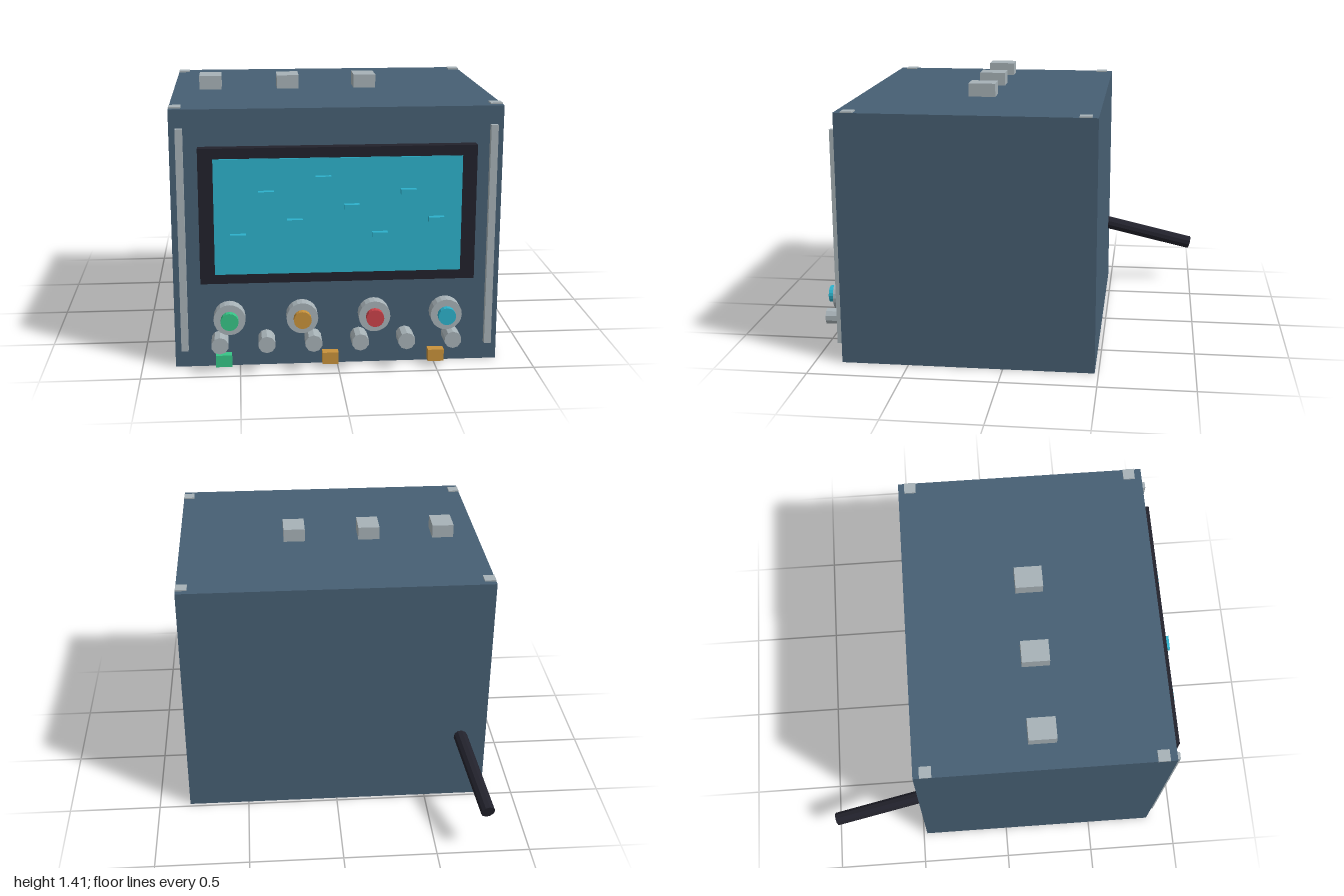
import * as THREE from 'three';

const mat = (name, color, flat = false) => {
  const m = new THREE.MeshStandardMaterial({ color, flatShading: flat });
  m.name = name;
  return m;
};

export function createModel() {
  const root = new THREE.Group();
  root.name = 'controlConsole';
  const steel = mat('slateBlue', 0x475f73, true);
  const grey = mat('lightGrey', 0xa7b2b7, true);
  const black = mat('nearBlack', 0x22222c, true);
  const cyan = mat('cyan', 0x2db1cb, true);
  const green = mat('green', 0x36c486, true);
  const amber = mat('amber', 0xc8923b, true);
  const red = mat('red', 0xcb434a, true);

  const add = (name, geometry, material, x, y, z) => {
    const m = new THREE.Mesh(geometry, material);
    m.name = name;
    m.position.set(x, y, z);
    root.add(m);
    return m;
  };
  // Box given by its extents on each axis
  const box = (name, material, [x0, x1], [y0, y1], [z0, z1]) =>
    add(name, new THREE.BoxGeometry(x1 - x0, y1 - y0, z1 - z0), material,
      (x0 + x1) / 2, (y0 + y1) / 2, (z0 + z1) / 2);
  // Cylinder whose axis points to the front
  const dial = (name, material, r, sides, x, y, z0, z1) =>
    add(name, new THREE.CylinderGeometry(r, r, z1 - z0, sides).rotateX(Math.PI / 2),
      material, x, y, (z0 + z1) / 2);

  // Cabinet
  box('cabinet', steel, [-0.83, 0.83], [0, 1.338], [-0.48, 0.855]);

  // Screen with its frame
  box('screenFrame', black, [-0.692, 0.692], [0.46, 1.152], [0.85, 0.908]);
  box('screen', cyan, [-0.618, 0.618], [0.51, 1.1], [0.9, 0.915]);

  // Raised marks scattered over the screen
  for (let i = 0; i < 8; i++) {
    const x = -0.5 + i * 0.1412, y = 0.71 + ((i * 3) % 5) * 0.0725;
    box('screenMark', cyan, [x - 0.039, x + 0.039], [y - 0.0125, y + 0.0125], [0.918, 0.948]);
  }

  // Front rails and top corner plates
  for (const s of [-1, 1]) {
    const x = s * 0.78;
    box('frontRail', grey, [x - 0.018, x + 0.018], [0.095, 1.245], [0.85, 0.886]);
    for (const z of [-0.416, 0.786]) {
      box('cornerPlate', grey, [s * 0.8 - 0.03, s * 0.8 + 0.03], [1.33, 1.345], [z - 0.031, z + 0.031]);
    }
  }

  // Large dials with coloured caps
  [green, amber, red, cyan].forEach((cap, i) => {
    const x = -0.55 + i * 0.366;
    dial('largeDial', grey, 0.08, 20, x, 0.282, 0.886, 0.952);
    dial('dialCap', cap, 0.045, 16, x, 0.282, 0.945, 0.985);
  });

  // Row of small knobs
  for (let i = 0; i < 6; i++) {
    dial('smallKnob', grey, 0.044, 10, -0.6 + i * 0.2353, 0.163, 0.893, 1.0);
  }

  // Push buttons along the bottom edge
  [green, amber, amber].forEach((m, i) => {
    const x = -0.582 + i * 0.542;
    box('pushButton', m, [x - 0.041, x + 0.041], [0.025, 0.087], [0.889, 0.938]);
  });

  // Blocks on the roof
  for (let i = 0; i < 3; i++) {
    const x = -0.634 + i * 0.415;
    box('roofBlock', grey, [x - 0.059, x + 0.059], [1.33, 1.41], [0.11, 0.256]);
  }

  // Cable leaving the back
  const a = new THREE.Vector3(-0.685, 0.403, -0.44);
  const b = new THREE.Vector3(-0.76, 0.258, -0.99);
  const mid = a.clone().add(b).multiplyScalar(0.5);
  const cable = add('rearCable', new THREE.CylinderGeometry(0.038, 0.038, a.distanceTo(b), 10),
    black, mid.x, mid.y, mid.z);
  cable.quaternion.setFromUnitVectors(new THREE.Vector3(0, 1, 0), b.clone().sub(a).normalize());

  return root;
}
